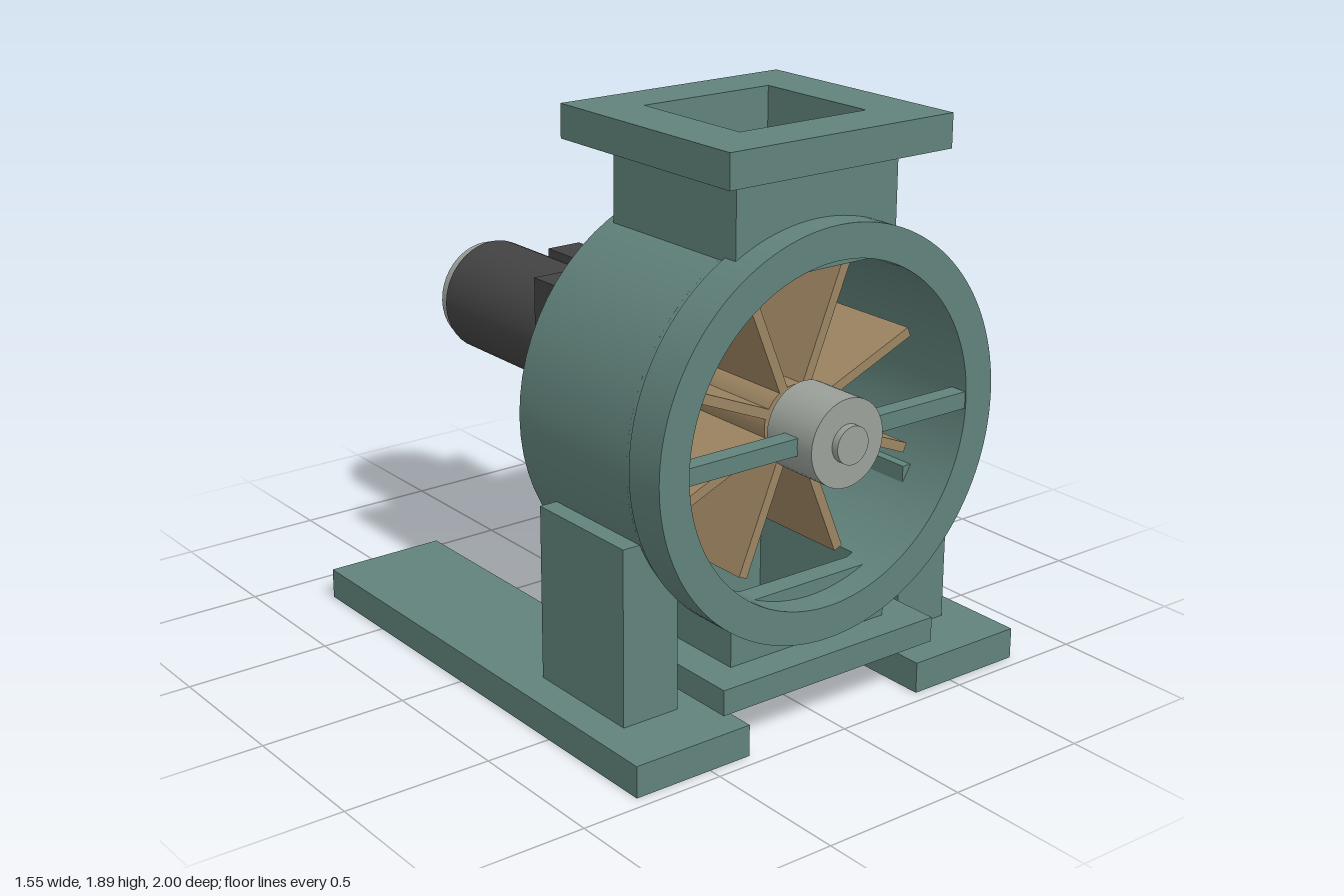
import * as THREE from 'three';
import { toCreasedNormals } from 'three/addons/utils/BufferGeometryUtils.js';

const AXIS_Y = 0.945; // height of the rotor axis
const BORE = 0.555, SHELL = 0.655, RIM = 0.665;

function material(name, color) {
  const m = new THREE.MeshStandardMaterial({ color });
  m.name = name;
  return m;
}

export function createModel() {
  const paint = material('greenPaint', 0x61827b);
  const steel = material('paleSteel', 0x9aa099);
  const motorGrey = material('darkMotor', 0x434343);
  const bronze = material('bronzeVane', 0x9c8461);

  const root = new THREE.Group();
  root.name = 'rotaryValve';

  function add(name, geometry, mat, parent = root) {
    const mesh = new THREE.Mesh(geometry, mat);
    mesh.name = name;
    parent.add(mesh);
    return mesh;
  }
  // Box given by its limits on each axis
  function box(name, [x0, x1], [y0, y1], [z0, z1], mat, parent) {
    const mesh = add(name, new THREE.BoxGeometry(x1 - x0, y1 - y0, z1 - z0), mat, parent);
    mesh.position.set((x0 + x1) / 2, (y0 + y1) / 2, (z0 + z1) / 2);
    return mesh;
  }
  // Solid round part on the rotor axis
  function round(name, r, z0, z1, mat, segments = 40) {
    const g = new THREE.CylinderGeometry(r, r, z1 - z0, segments).rotateX(Math.PI / 2);
    const mesh = add(name, g, mat);
    mesh.position.set(0, AXIS_Y, (z0 + z1) / 2);
    return mesh;
  }
  // Cross-section around the rotor axis, extruded along z
  function section(name, shape, z0, z1) {
    const g = new THREE.ExtrudeGeometry(shape, { depth: z1 - z0, bevelEnabled: false, curveSegments: 64 });
    add(name, toCreasedNormals(g, 0.5), paint).position.set(0, AXIS_Y, z0);
  }
  function ring(outer, inner) {
    const s = new THREE.Shape().absarc(0, 0, outer, 0, Math.PI * 2, false);
    s.holes.push(new THREE.Path().absarc(0, 0, inner, 0, Math.PI * 2, true));
    return s;
  }
  // Rectangular frame lying flat, from y0 to y1, with the port opening through it
  const PORT_X = 0.245, PORT_Z = [0.29, 0.745];
  function frame(name, hx, [z0, z1], y0, y1) {
    const s = new THREE.Shape();
    s.moveTo(-hx, -z0).lineTo(hx, -z0).lineTo(hx, -z1).lineTo(-hx, -z1).closePath();
    const h = new THREE.Path();
    h.moveTo(-PORT_X, -PORT_Z[0]).lineTo(-PORT_X, -PORT_Z[1]);
    h.lineTo(PORT_X, -PORT_Z[1]).lineTo(PORT_X, -PORT_Z[0]).closePath();
    s.holes.push(h);
    const g = new THREE.ExtrudeGeometry(s, { depth: y1 - y0, bevelEnabled: false });
    add(name, g.rotateX(-Math.PI / 2), paint).position.y = y0;
  }

  // Housing: closed back, two side walls leaving the ports open, front rings
  round('backCover', SHELL, 0.19, 0.27, paint, 64);
  section('rearShell', ring(SHELL, BORE), 0.27, PORT_Z[0]);
  for (const side of [1, -1]) {
    const turn = side > 0 ? 0 : Math.PI;
    const a = Math.acos(PORT_X / SHELL), b = Math.acos(PORT_X / BORE);
    const wall = new THREE.Shape();
    wall.absarc(0, 0, SHELL, turn - a, turn + a, false);
    wall.absarc(0, 0, BORE, turn + b, turn - b, true);
    wall.closePath();
    section(side > 0 ? 'leftShell' : 'rightShell', wall, PORT_Z[0], PORT_Z[1]);
  }
  section('frontShell', ring(SHELL, BORE), PORT_Z[1], 0.77);
  section('frontRim', ring(RIM, BORE), 0.77, 0.915);

  // Inlet and outlet ducts with flanges
  frame('inletDuct', 0.315, [0.225, 0.82], 1.45, 1.78);
  frame('inletFlange', 0.43, [0.11, 0.93], 1.78, 1.89);
  frame('outletDuct', 0.315, [0.225, 0.82], 0.235, 0.437);
  frame('outletFlange', 0.43, [0.11, 0.93], 0.15, 0.235);

  // Rotor
  const rotor = new THREE.Group();
  rotor.name = 'rotor';
  rotor.position.y = AXIS_Y;
  root.add(rotor);
  for (let i = 0; i < 8; i++) {
    const arm = new THREE.Group();
    arm.name = 'vane' + (i + 1);
    arm.rotation.z = (i + 0.5) * Math.PI / 4;
    rotor.add(arm);
    box('vanePlate', [0.08, 0.514], [-0.0165, 0.0165], [0.275, 0.73], bronze, arm);
  }
  round('rotorHub', 0.12, 0.275, 0.73, bronze);

  // Shaft, bearings and front crossbar
  round('shaft', 0.062, -0.09, 1.0, steel);
  round('frontBearing', 0.143, 0.77, 0.975, steel);
  round('rearBearing', 0.168, -0.01, 0.195, steel);
  box('crossbar', [-0.556, 0.556], [0.917, 0.973], [0.85, 0.91], paint);

  // Drive
  box('gearbox', [-0.195, 0.195], [0.717, 1.175], [-0.395, -0.07], motorGrey);
  round('motor', 0.202, -0.95, -0.36, motorGrey);
  round('motorEndCap', 0.187, -1.0, -0.94, steel);
  box('terminalBox', [0.14, 0.275], [0.922, 1.13], [-0.795, -0.605], motorGrey);

  // Feet
  for (const [side, label] of [[1, 'left'], [-1, 'right']]) {
    const span = (a, b) => (side > 0 ? [a, b] : [-b, -a]);
    box(label + 'BaseRail', span(0.348, 0.777), [0, 0.105], [-0.83, 0.955], paint);
    box(label + 'Post', span(0.46, 0.665), [0.105, 0.69], [0.31, 0.74], paint);
  }

  return root;
}
